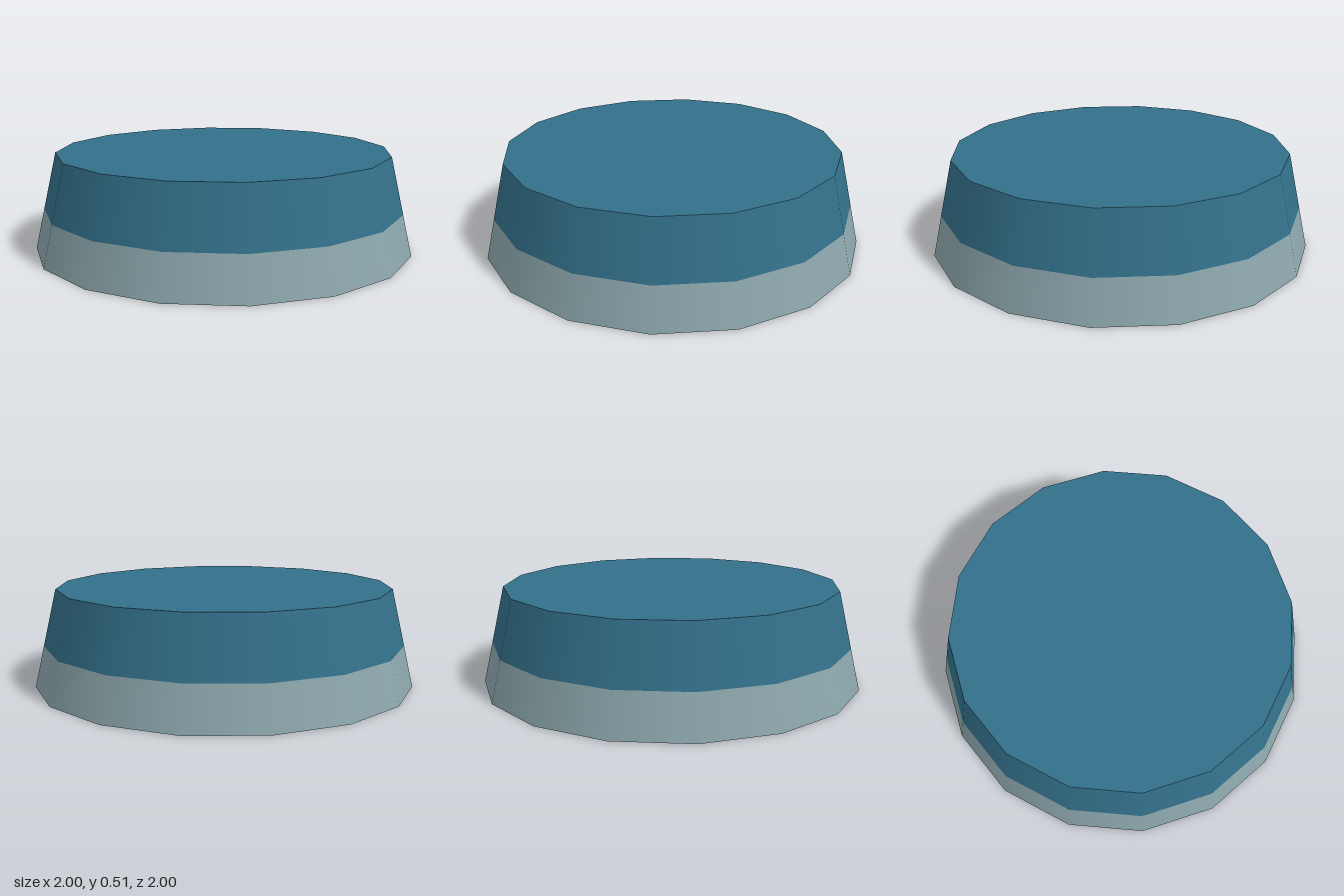
import * as THREE from 'three';

const SIDES = 16, BASE_R = 1, TOP_R = 0.88, HEIGHT = 0.51, BAND_Y = 0.215;

function material(name, color) {
  return new THREE.MeshStandardMaterial({ name, color, side: THREE.DoubleSide });
}

export function createModel() {
  const group = new THREE.Group();
  const blue = material('blue', 0x33708a);
  const grey = material('grey', 0x8ba6ab);
  const brown = material('brown', 0xa38a7d);

  const add = (name, geometry, mat) => {
    const mesh = new THREE.Mesh(geometry, mat);
    mesh.name = name;
    group.add(mesh);
    return mesh;
  };
  const radiusAt = (y) => BASE_R + (TOP_R - BASE_R) * y / HEIGHT;

  // Tapered open wall, one section per colour
  const wall = (name, y0, y1, mat) => {
    const geometry = new THREE.CylinderGeometry(radiusAt(y1), radiusAt(y0), y1 - y0, SIDES, 1, true);
    add(name, geometry.translate(0, (y0 + y1) / 2, 0), mat);
  };
  wall('lowerWall', 0, BAND_Y, grey);
  wall('upperWall', BAND_Y, HEIGHT, blue);

  // Flat lid
  add('top', new THREE.CircleGeometry(TOP_R, SIDES).rotateX(-Math.PI / 2).translate(0, HEIGHT, 0), blue);

  // Underside: shapes are drawn in (x, z) and turned to face down
  const flat = (shape) => new THREE.ShapeGeometry(shape, 8).rotateX(Math.PI / 2);
  const points = (list) => list.map(([x, z]) => new THREE.Vector2(x, z));

  // Ragged edge of the brown patch, from back to front
  const patchEdge = points([
    [0, -0.48], [-0.09, -0.44], [-0.17, -0.415], [-0.27, -0.37], [-0.38, -0.28], [-0.43, -0.16],
    [-0.46, -0.03], [-0.48, 0.09], [-0.42, 0.16], [-0.41, 0.23], [-0.36, 0.27], [-0.357, 0.31],
    [-0.25, 0.38], [-0.127, 0.445], [-0.05, 0.475], [0, 0.48],
  ]);

  // Half floor: the +x side is open apart from one short outer sector
  const rim = [];
  for (let i = 0; i <= SIDES / 2 + 1; i++) {
    const a = i * 2 * Math.PI / SIDES;
    rim.push(new THREE.Vector2(-Math.sin(a) * BASE_R, Math.cos(a) * BASE_R));
  }
  const innerCorner = points([[0.195, -0.472], [0, -0.511]]);
  add('halfFloor', flat(new THREE.Shape([...rim, ...innerCorner, ...patchEdge])), grey);

  // Brown centre with small spots let into it
  const patch = new THREE.Shape(patchEdge);
  for (const [x, z] of [[-0.09, 0.185], [-0.21, 0.01], [-0.105, -0.17]]) {
    patch.holes.push(new THREE.Path().absarc(x, z, 0.02, 0, Math.PI * 2, true));
    add('floorSpot', flat(new THREE.Shape().absarc(x, z, 0.02, 0, Math.PI * 2, false)), blue);
  }
  add('floorPatch', flat(patch), brown);

  return group;
}
